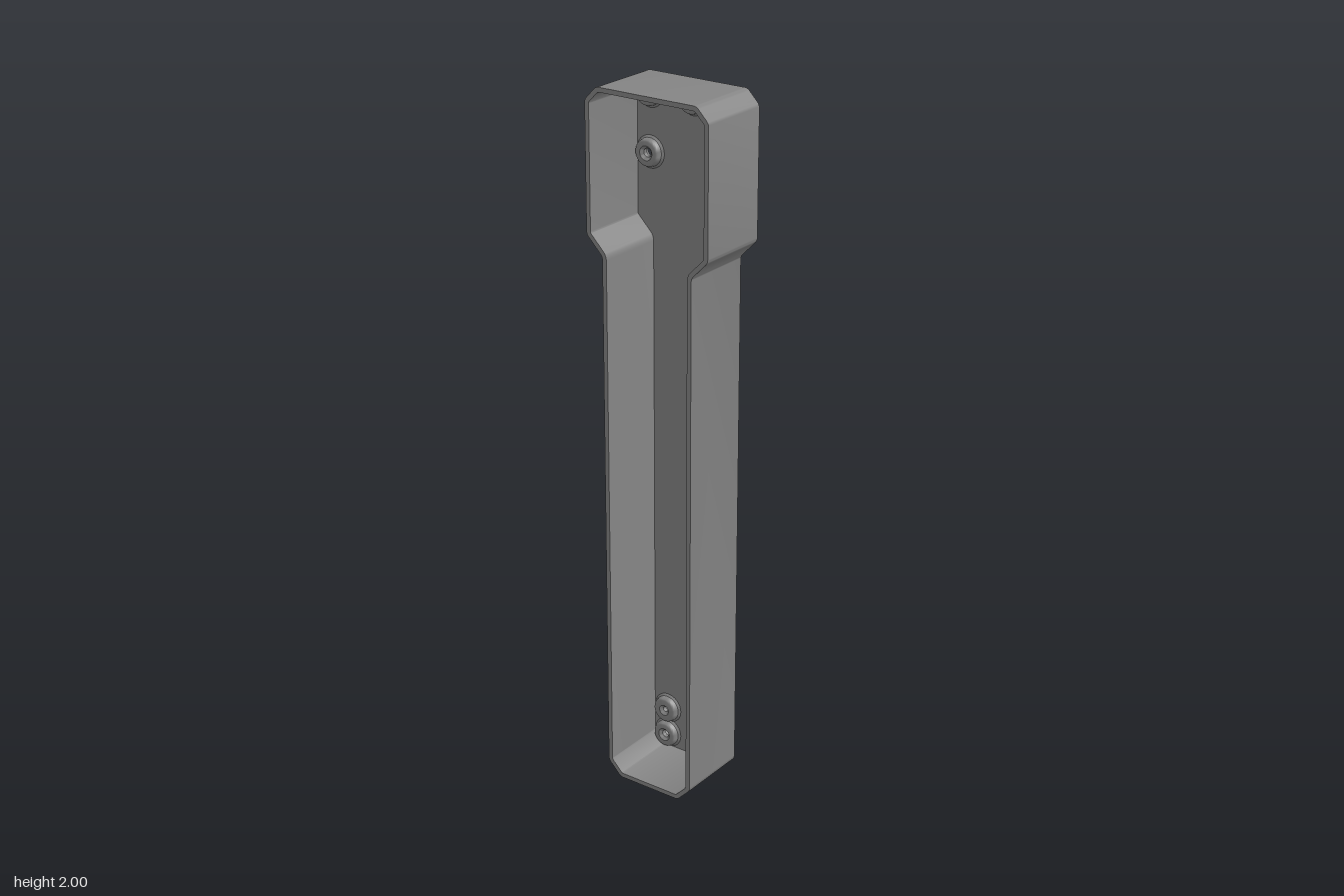
import * as THREE from 'three';
import { toCreasedNormals } from 'three/addons/utils/BufferGeometryUtils.js';

const BACK = -0.113, FRONT = 0.113, FLOOR = -0.09, WALL = 0.013;

// Right half of the outline, counter-clockwise from the bottom
const half = [[0.1, 0], [0.142, 0.042], [0.142, 1.553], [0.193, 1.605], [0.193, 1.962], [0.156, 2]];
const corners = [...half, ...half.slice().reverse().map(([x, y]) => [-x, y])]
  .map(([x, y]) => new THREE.Vector2(x, y));

// Every corner is eased with a small curve
const outline = corners.flatMap((p, i) => {
  const n = corners.length, EASE = 0.009;
  const towards = (q) => p.clone().add(q.clone().sub(p).setLength(EASE));
  const before = towards(corners[(i + n - 1) % n]), after = towards(corners[(i + 1) % n]);
  return new THREE.QuadraticBezierCurve(before, p, after).getPoints(4);
});

// Screw posts: x, y, bore radius, radius of the opening at the back
const posts = [[0, 1.95, 0.012, 0.026]];
for (const s of [-1, 1]) {
  posts.push(
    [s * 0.138, 1.95, 0.012, 0.014],
    [s * 0.138, 1.787, 0.012, 0.026],
    [s * 0.082, 0.137, 0.008, 0.012],
    [s * 0.082, 0.056, 0.011, 0.026]);
}

// Outline moved inwards by d with mitred corners
function inset(d) {
  const n = outline.length;
  return outline.map((p, i) => {
    const a = p.clone().sub(outline[(i + n - 1) % n]).normalize();
    const b = outline[(i + 1) % n].clone().sub(p).normalize();
    const na = new THREE.Vector2(-a.y, a.x), nb = new THREE.Vector2(-b.y, b.x);
    return p.clone().addScaledVector(na.clone().add(nb), d / (1 + na.dot(nb)));
  });
}

// Skin through rings of [inset, z], smooth around the eased corners
function loftRings(rings) {
  const pos = [];
  for (let r = 0; r < rings.length - 1; r++) {
    const [[da, za], [db, zb]] = [rings[r], rings[r + 1]];
    const A = inset(da), B = inset(db);
    for (let i = 0; i < A.length; i++) {
      const j = (i + 1) % A.length;
      const a = [A[i].x, A[i].y, za], b = [A[j].x, A[j].y, za];
      const c = [B[j].x, B[j].y, zb], d = [B[i].x, B[i].y, zb];
      pos.push(...a, ...b, ...c, ...a, ...c, ...d);
    }
  }
  const g = new THREE.BufferGeometry();
  g.setAttribute('position', new THREE.Float32BufferAttribute(pos, 3));
  return toCreasedNormals(g, 0.5);
}

// Flat plate with one round hole per post
function plate(d, holeRadius) {
  const shape = new THREE.Shape(inset(d));
  for (const post of posts) {
    const hole = new THREE.Path();
    hole.absarc(post[0], post[1], holeRadius(post), 0, Math.PI * 2, true);
    shape.holes.push(hole);
  }
  return new THREE.ShapeGeometry(shape, 16);
}

// Post with flared foot, rounded top, countersunk bore and wider opening at the back
function postGeometry(bore, opening) {
  const top = FLOOR + 0.021;
  const profile = [
    [0.045, FLOOR], [0.039, FLOOR + 0.005], [0.037, top - 0.005], [0.035, top - 0.002], [0.031, top],
    [bore + 0.008, top], [bore, top - 0.008], [bore, FLOOR], [opening, FLOOR], [opening, BACK],
  ].map(([r, z]) => new THREE.Vector2(r, z));
  const lathe = new THREE.LatheGeometry(profile, 32).rotateX(Math.PI / 2);
  return toCreasedNormals(lathe, 0.6);
}

export function createModel() {
  const group = new THREE.Group();
  group.name = 'handleShell';
  const mat = new THREE.MeshStandardMaterial({ color: 0x848484, side: THREE.DoubleSide });
  const add = (name, geometry) => {
    const m = new THREE.Mesh(geometry, mat);
    m.name = name;
    group.add(m);
    return m;
  };

  // Walls: bevelled back edge, outer side, flat rim, inner side
  add('walls', loftRings([
    [0.008, BACK], [0, BACK + 0.008], [0, FRONT], [WALL, FRONT], [WALL, FLOOR],
  ]));

  // Floor of the tray and its outer back face
  add('innerFloor', plate(WALL, () => 0.03)).position.z = FLOOR;
  add('backFace', plate(0.008, (p) => p[3]).rotateY(Math.PI)).position.z = BACK;

  for (const [x, y, bore, opening] of posts) {
    add('screwPost', postGeometry(bore, opening)).position.set(x, y, 0);
  }
  return group;
}
